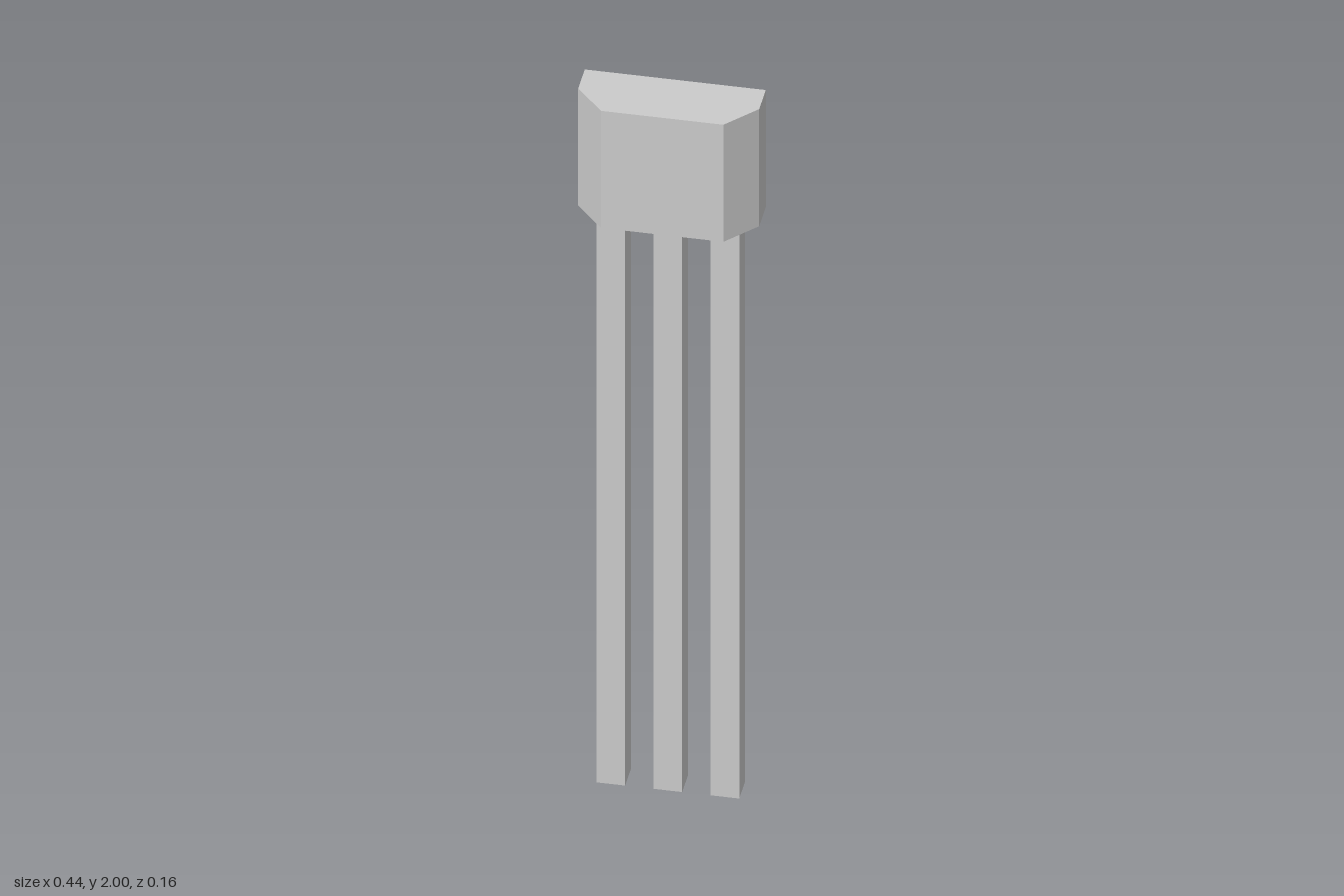
import * as THREE from 'three';

const material = new THREE.MeshStandardMaterial({ color: 0xcccccc, flatShading: true });

const BODY_BOTTOM = 1.66;
const BODY_TOP = 2;
const LEG_WIDTH = 0.07;
const LEG_PITCH = 0.138;
const LEG_Z = -0.023;

// Sensor housing: flat back, two chamfered front corners
function createBody() {
  const outline = [[-0.219, 0.08], [-0.219, 0], [-0.148, -0.08], [0.148, -0.08], [0.219, 0], [0.219, 0.08]];
  const shape = new THREE.Shape(outline.map(([x, y]) => new THREE.Vector2(x, y)));
  const geometry = new THREE.ExtrudeGeometry(shape, { depth: BODY_TOP - BODY_BOTTOM, bevelEnabled: false });
  geometry.rotateX(-Math.PI / 2);
  geometry.translate(0, BODY_BOTTOM, 0);
  const body = new THREE.Mesh(geometry, material);
  body.name = 'body';
  return body;
}

// Square pin running from the ground to the underside of the housing
function createLeg(name, x) {
  const leg = new THREE.Mesh(new THREE.BoxGeometry(LEG_WIDTH, BODY_BOTTOM, LEG_WIDTH), material);
  leg.position.set(x, BODY_BOTTOM / 2, LEG_Z);
  leg.name = name;
  return leg;
}

export function createModel() {
  const model = new THREE.Group();
  model.name = 'threePinSensor';
  model.add(createBody());
  ['rightLeg', 'middleLeg', 'leftLeg'].forEach((name, i) => model.add(createLeg(name, (i - 1) * LEG_PITCH)));
  return model;
}
